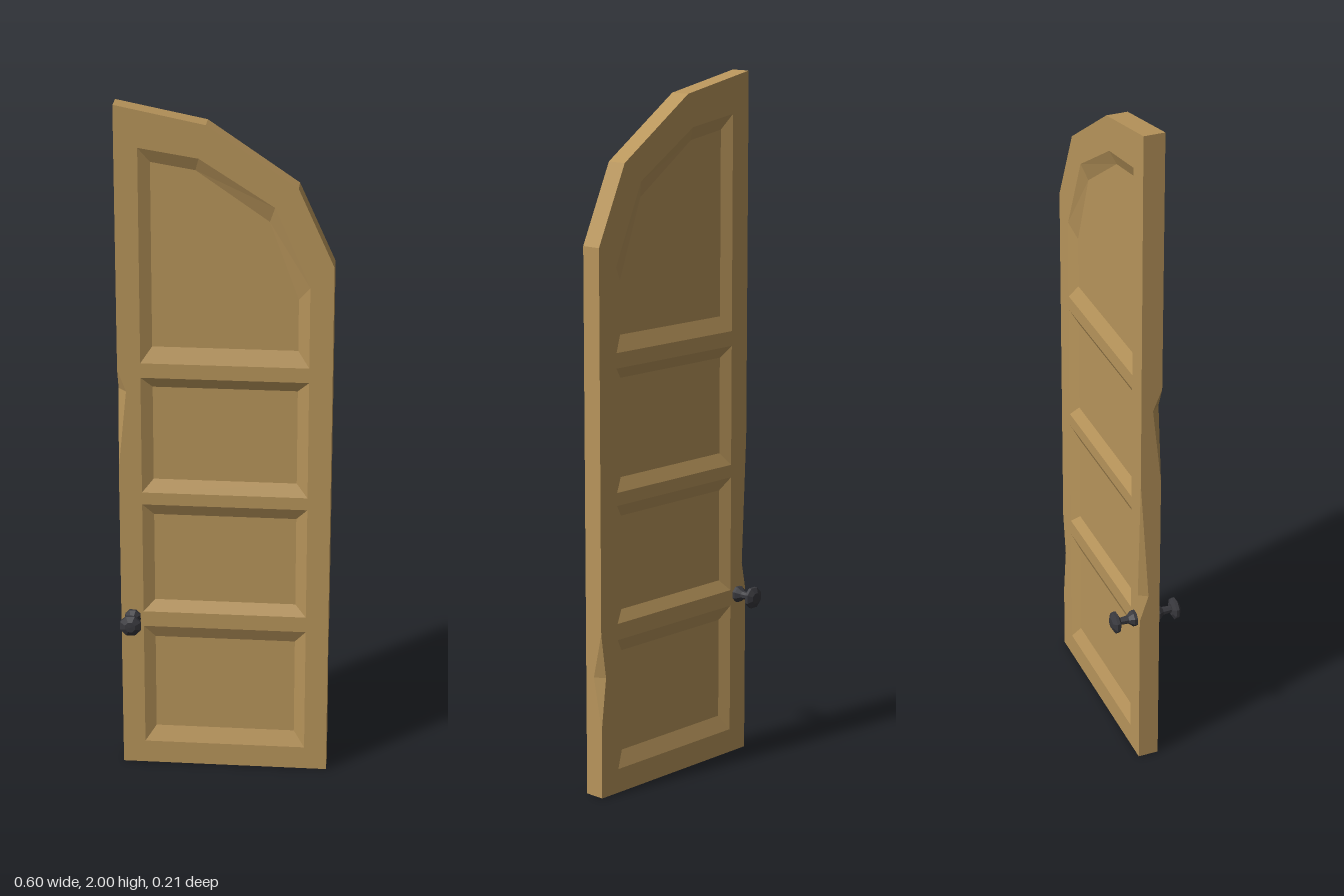
import * as THREE from 'three';

const T = 0.03; // half thickness
const DEPTH = 0.017; // panel recess
const V = (x, y, z) => new THREE.Vector3(x, y, z);
const P = (x, y) => new THREE.Vector2(x, y);

// Collects triangles, each turned to face a given outward direction
class Surface {
  constructor() { this.pos = []; }
  tri(a, b, c, out) {
    const n = b.clone().sub(a).cross(c.clone().sub(a));
    const order = n.dot(out) < 0 ? [a, c, b] : [a, b, c];
    order.forEach((p) => this.pos.push(p.x, p.y, p.z));
  }
  quad(a, b, c, d, out) {
    this.tri(a, b, c, out);
    this.tri(a, c, d, out);
  }
  polygon(contour, holes, place, out) {
    const pts = [...contour, ...holes.flat()].map(place);
    for (const [i, j, k] of THREE.ShapeUtils.triangulateShape(contour, holes)) {
      this.tri(pts[i], pts[j], pts[k], out);
    }
  }
  mesh(name, material) {
    const g = new THREE.BufferGeometry();
    g.setAttribute('position', new THREE.Float32BufferAttribute(this.pos, 3));
    g.computeVertexNormals();
    const m = new THREE.Mesh(g, material);
    m.name = name;
    return m;
  }
}

// Chipped corners: side of the door, face, low / deepest / high y
const chips = [
  { sx: -1, sz: 1, lo: 0.945, mid: 1.18, hi: 1.243, bite: 0.024, cut: 0.026 },
  { sx: -1, sz: -1, lo: 0.49, mid: 0.57, hi: 0.95, bite: 0.016, cut: 0.026 },
  { sx: 1, sz: -1, lo: 0.2, mid: 0.35, hi: 0.48, bite: 0.018, cut: 0.03 },
];

// Recessed panels: outer and inner rims
const box = (y0, y1, i0, i1) => ({
  outer: [P(-0.235, y0), P(0.235, y0), P(0.235, y1), P(-0.235, y1)],
  inner: [P(-0.203, i0), P(0.203, i0), P(0.203, i1), P(-0.203, i1)],
});
const panels = [
  box(0.07, 0.45, 0.116, 0.41),
  box(0.497, 0.836, 0.53, 0.8),
  box(0.873, 1.222, 0.91, 1.19),
  {
    outer: [P(-0.235, 1.265), P(0.235, 1.265), P(0.235, 1.5), P(0.137, 1.725), P(-0.07, 1.857), P(-0.235, 1.883)],
    inner: [P(-0.203, 1.31), P(0.203, 1.31), P(0.203, 1.46), P(0.122, 1.68), P(-0.08, 1.82), P(-0.203, 1.84)],
  },
];

const ARCH = [P(0.3, 1.56), P(0.2, 1.78), P(-0.05, 1.95), P(-0.3, 2)];

// Points of the chips along one vertical edge, from bottom to top
function notches(sx, sz, point) {
  return chips
    .filter((c) => c.sx === sx && c.sz === sz)
    .flatMap((c) => [point(c.lo, 0, c), point(c.mid, 1, c), point(c.hi, 0, c)]);
}

function createDoor(wood) {
  const door = new THREE.Group();
  door.name = 'door';

  // Front and back faces with framed panels
  for (const sz of [1, -1]) {
    const out = V(0, 0, sz);
    const edge = (sx) => notches(sx, sz, (y, k, c) => P(sx * (0.3 - k * c.bite), y));
    const outline = [P(-0.3, 0), P(0.3, 0), ...edge(1), ...ARCH, ...edge(-1).reverse()];
    const high = (p) => V(p.x, p.y, sz * T);
    const low = (p) => V(p.x, p.y, sz * (T - DEPTH));
    const label = sz > 0 ? 'front' : 'back';

    const frame = new Surface();
    frame.polygon(outline, panels.map((p) => p.outer.slice().reverse()), high, out);
    door.add(frame.mesh(label + 'Frame', wood));

    const recess = new Surface();
    for (const { outer, inner } of panels) {
      recess.polygon(inner, [], low, out);
      outer.forEach((p, i) => {
        const j = (i + 1) % outer.length;
        recess.quad(high(p), high(outer[j]), low(inner[j]), low(inner[i]), out);
      });
    }
    door.add(recess.mesh(label + 'Panels', wood));
  }

  // Vertical sides, notched where the corners are chipped
  const rim = new Surface();
  for (const sx of [-1, 1]) {
    const top = sx < 0 ? 2 : 1.56;
    const edge = (sz) => notches(sx, sz, (y, k, c) => P(sz * (T - k * c.cut), y));
    const contour = [P(-T, 0), P(T, 0), ...edge(1), P(T, top), P(-T, top), ...edge(-1).reverse()];
    rim.polygon(contour, [], (p) => V(sx * 0.3, p.y, p.x), V(sx, 0, 0));
  }
  // Arched top and flat bottom
  const strip = (a, b, out) =>
    rim.quad(V(a.x, a.y, T), V(b.x, b.y, T), V(b.x, b.y, -T), V(a.x, a.y, -T), out);
  for (let i = 0; i < ARCH.length - 1; i++) strip(ARCH[i], ARCH[i + 1], V(0.3, 1, 0));
  strip(P(-0.3, 0), P(0.3, 0), V(0, -1, 0));
  door.add(rim.mesh('doorEdge', wood));

  // Broken facets inside each chip
  const broken = new Surface();
  for (const { sx, sz, lo, mid, hi, bite, cut } of chips) {
    const onFace = V(sx * (0.3 - bite), mid, sz * T);
    const onSide = V(sx * 0.3, mid, sz * (T - cut));
    for (const y of [lo, hi]) broken.tri(V(sx * 0.3, y, sz * T), onFace, onSide, V(sx, 0, sz));
  }
  door.add(broken.mesh('chippedCorners', wood));
  return door;
}

// Turned knob on a rose, one for each face
function createKnob(iron, sz) {
  const profile = [
    [0.024, 0.028], [0.024, 0.039], [0.0125, 0.053], [0.0105, 0.079],
    [0.018, 0.079], [0.032, 0.086], [0.032, 0.095], [0.016, 0.104], [0, 0.105],
  ].map(([r, h]) => P(r, h));
  const knob = new THREE.Mesh(new THREE.LatheGeometry(profile, 8, Math.PI / 8), iron);
  knob.name = sz > 0 ? 'frontKnob' : 'backKnob';
  knob.rotation.x = (sz * Math.PI) / 2;
  knob.position.set(-0.266, 0.48, 0);
  return knob;
}

export function createModel() {
  const wood = new THREE.MeshStandardMaterial({ color: 0xb8955b, flatShading: true });
  wood.name = 'wood';
  const iron = new THREE.MeshStandardMaterial({ color: 0x38383d, flatShading: true });
  iron.name = 'dark iron';

  const model = new THREE.Group();
  model.name = 'archedDoorLeaf';
  model.add(createDoor(wood), createKnob(iron, 1), createKnob(iron, -1));
  return model;
}
